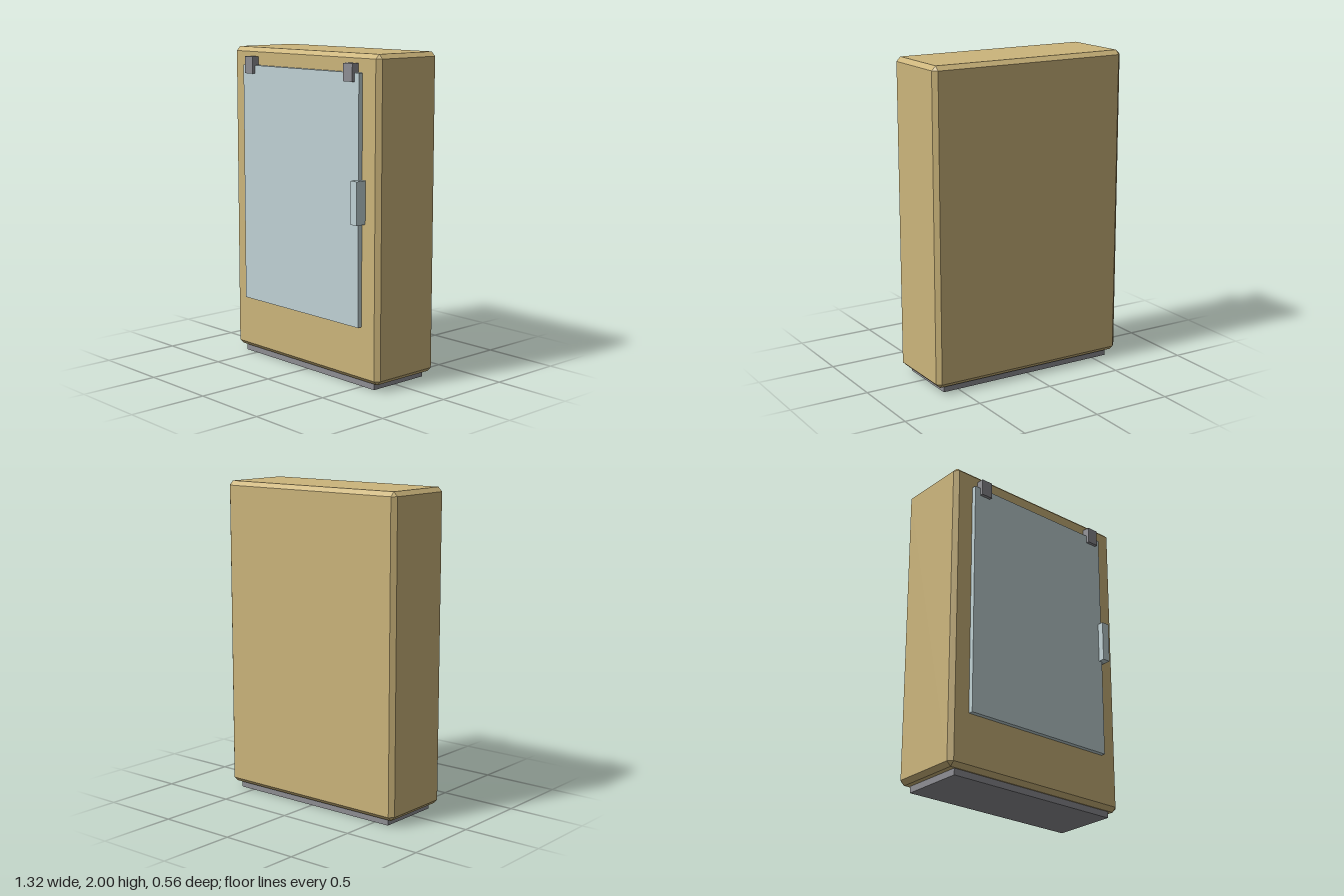
import * as THREE from 'three';
import { ConvexGeometry } from 'three/addons/geometries/ConvexGeometry.js';

function material(name, color) {
  const m = new THREE.MeshStandardMaterial({ color });
  m.name = name;
  return m;
}

// Box given by its minimum and maximum corners
function box(name, mat, [x0, y0, z0], [x1, y1, z1]) {
  const mesh = new THREE.Mesh(new THREE.BoxGeometry(x1 - x0, y1 - y0, z1 - z0), mat);
  mesh.position.set((x0 + x1) / 2, (y0 + y1) / 2, (z0 + z1) / 2);
  mesh.name = name;
  return mesh;
}

// Box with every edge cut flat and a small triangle at each corner
function chamferedBox(w, h, d, c) {
  const points = [];
  for (const sx of [-1, 1]) for (const sy of [-1, 1]) for (const sz of [-1, 1]) {
    for (let axis = 0; axis < 3; axis++) {
      const half = [w / 2, h / 2, d / 2].map((v, i) => (i === axis ? v : v - c));
      points.push(new THREE.Vector3(sx * half[0], sy * half[1], sz * half[2]));
    }
  }
  return new ConvexGeometry(points);
}

export function createModel() {
  const tan = material('tan casing', 0xccb57b);
  const pale = material('pale blue door', 0xc0d2d5);
  const grey = material('grey metal', 0x8e8e93);

  const model = new THREE.Group();
  model.name = 'cabinet';

  // Casing and recessed plinth
  const casing = new THREE.Mesh(chamferedBox(1.32, 1.96, 0.49, 0.027), tan);
  casing.position.set(0, 1.02, -0.035);
  casing.name = 'casing';
  model.add(casing);
  model.add(box('plinth', grey, [-0.6, 0, -0.24], [0.6, 0.05, 0.175]));

  // Door with handle
  model.add(box('door', pale, [-0.53, 0.38, 0.2], [0.525, 1.89, 0.24]));
  model.add(box('handle', pale, [0.5, 1.005, 0.205], [0.553, 1.265, 0.28]));

  // Clips along the top of the door
  for (const [name, side] of [['leftClip', 1], ['rightClip', -1]]) {
    const x = side * 0.453;
    model.add(box(name, grey, [x - 0.038, 1.838, 0.2], [x + 0.038, 1.944, 0.26]));
  }
  return model;
}
